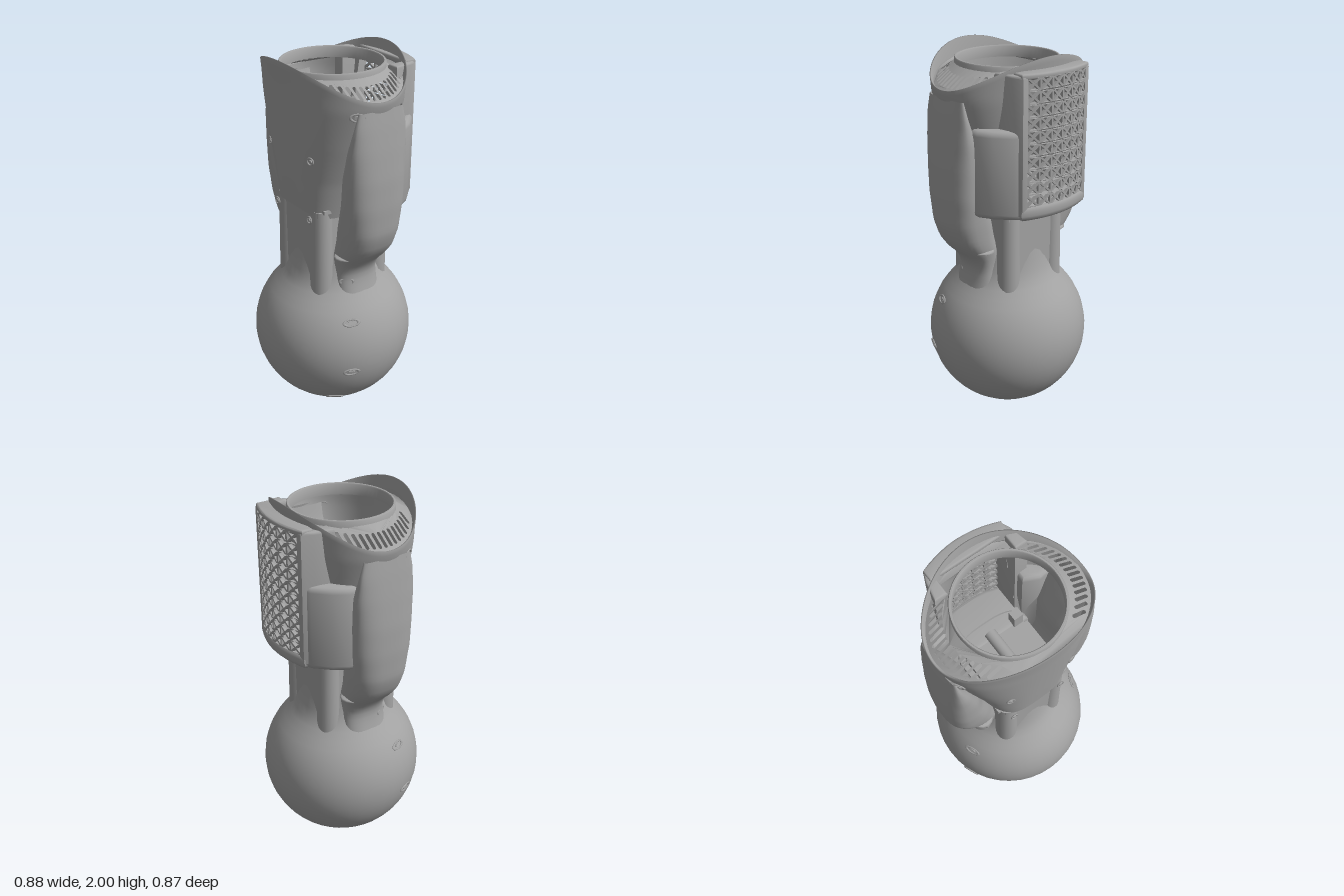
import * as THREE from 'three';
import { toCreasedNormals } from 'three/addons/utils/BufferGeometryUtils.js';

const grey = new THREE.MeshStandardMaterial({ color: 0xa3a3a3, side: THREE.DoubleSide });
grey.name = 'grey plastic';

// Linear lookup in a table of [y, value, ...] rows
function look(table, y, k) {
  for (let i = 1; i < table.length; i++) {
    const a = table[i - 1], b = table[i];
    if (y <= b[0]) return THREE.MathUtils.lerp(a[k], b[k], Math.max(0, (y - a[0]) / (b[0] - a[0])));
  }
  return table[table.length - 1][k];
}

// Skin of closed rings; point(angle, row) gives each vertex, keep() may leave openings
function loft(rows, n, point, keep = () => true) {
  const pos = [], idx = [];
  for (let r = 0; r <= rows; r++)
    for (let i = 0; i < n; i++) pos.push(...point((i / n) * Math.PI * 2, r));
  for (let r = 0; r < rows; r++)
    for (let i = 0; i < n; i++) {
      const a = r * n + i, b = r * n + (i + 1) % n;
      if (keep(pos[a * 3], pos[a * 3 + 1], pos[a * 3 + 2])) idx.push(a, a + n, b, b, a + n, b + n);
    }
  const g = new THREE.BufferGeometry();
  g.setAttribute('position', new THREE.Float32BufferAttribute(pos, 3));
  g.setIndex(idx);
  g.computeVertexNormals();
  return g;
}

// Bevelled slab: outline in x and depth behind the centre, raised from y0 to y1
function slab(points, y0, y1, bevel) {
  const shape = new THREE.Shape(points.map(p => new THREE.Vector2(...p)));
  const g = new THREE.ExtrudeGeometry(shape, {
    depth: y1 - y0 - 2 * bevel, bevelEnabled: bevel > 0, bevelSize: bevel, bevelThickness: bevel,
    bevelOffset: -bevel, bevelSegments: 3,
  });
  g.rotateX(-Math.PI / 2).translate(0, y0 + bevel, 0);
  return toCreasedNormals(g, 0.7);
}

const spow = (v, e) => Math.sign(v) * Math.abs(v) ** e;
const rimY = a => 1.84 + 0.16 * Math.sin(a) ** 2;

export function createModel() {
  const model = new THREE.Group();
  const add = (name, geo, x = 0, y = 0, z = 0, parent = model) => {
    const m = new THREE.Mesh(geo, grey);
    m.name = name;
    m.position.set(x, y, z);
    parent.add(m);
    return m;
  };

  // Round base flowing into the neck
  const profile = [];
  for (let i = 0; i <= 20; i++) {
    const t = -Math.PI / 2 + (i / 20) * (Math.PI / 2 + 0.76);
    profile.push(new THREE.Vector2(Math.max(0.0001, 0.435 * Math.cos(t)), 0.435 + 0.435 * Math.sin(t)));
  }
  [[0.285, 0.775], [0.26, 0.81], [0.242, 0.86], [0.228, 0.92], [0.215, 1.0]].forEach(p => profile.push(new THREE.Vector2(...p)));
  add('ballBase', new THREE.LatheGeometry(profile, 40));

  // Neck: four corner posts around a core
  add('neckCore', new THREE.BoxGeometry(0.36, 0.48, 0.44), 0, 1.0, 0);
  for (const x of [-0.145, 0.145])
    for (const z of [-0.175, 0.175])
      add('neckPost', new THREE.CylinderGeometry(0.056, 0.062, 0.5, 20), x, 0.99, z);

  // Head shell: y, half width, front depth, back depth, roundness
  const head = [
    [1.2, 0.215, 0.255, 0.2, 3.2], [1.4, 0.275, 0.275, 0.235, 2.7], [1.6, 0.345, 0.293, 0.27, 2.4],
    [1.8, 0.408, 0.311, 0.305, 2.1], [1.87, 0.42, 0.317, 0.315, 2], [2, 0.424, 0.33, 0.33, 2],
  ];
  add('headShell', loft(30, 96, (a, r) => {
    const s = Math.sin(a), c = Math.cos(a), top = rimY(a);
    const base = 1.2 + 0.04 * Math.max(0, s) ** 4;
    const y = r <= 28 ? base + (top - base) * r / 28 : top;
    const e = 2 / look(head, y, 4), k = r === 29 ? 0.985 : r === 30 ? 0.955 : 1;
    const drop = r === 30 ? 0.012 + 0.07 * s * s : 0;
    return [k * spow(c, e) * look(head, y, 1), y - drop, k * spow(s, e) * look(head, y, s > 0 ? 2 : 3)];
  }, (x, y, z) => !(z < 0 && Math.abs(x) < 0.18 && y > 1.3 && y < 1.9)));

  // Side lobes: y, outer x, half depth, inner x
  const lobe = [
    [0.72, 0.3, 0.13, 0.12], [0.82, 0.276, 0.125, 0.12], [0.88, 0.272, 0.12, 0.12], [0.94, 0.3, 0.125, 0.12],
    [1.0, 0.362, 0.137, 0.14], [1.06, 0.405, 0.145, 0.16], [1.15, 0.434, 0.155, 0.18], [1.3, 0.442, 0.165, 0.23],
    [1.45, 0.44, 0.168, 0.25], [1.6, 0.428, 0.165, 0.3], [1.72, 0.414, 0.15, 0.35], [1.8, 0.402, 0.13, 0.37],
  ];
  for (const side of [-1, 1]) {
    add('sideLobe', loft(36, 36, (a, r) => {
      const y = 0.72 + 1.08 * r / 36, X = look(lobe, y, 1), I = look(lobe, y, 3);
      return [side * ((X + I) / 2 + spow(Math.cos(a), 0.8) * (X - I) / 2), y, spow(Math.sin(a), 0.8) * look(lobe, y, 2)];
    }));
    // Narrow ledge under each lobe
    const ledge = add('lobeLedge', new THREE.SphereGeometry(1, 20, 10), side * 0.25, 0.99, 0);
    ledge.scale.set(0.09, 0.016, 0.16);
  }

  // Top deck with rows of vent slots
  const deck = new THREE.Shape();
  deck.absellipse(0, 0, 0.405, 0.315, 0, Math.PI * 2);
  const opening = new THREE.Path();
  opening.absarc(0, 0, 0.262, 0, Math.PI * 2, true);
  deck.holes.push(opening);
  for (const side of [-1, 1])
    for (let i = -7; i <= 7; i++) {
      const z = i * 0.03, outer = 0.382 * Math.sqrt(1 - (z / 0.295) ** 2);
      const inner = Math.max(outer - 0.075, Math.sqrt(Math.max(0, 0.278 ** 2 - z * z)));
      if (outer - inner < 0.02) continue;
      const slot = new THREE.Path(), h = 0.0085;
      const l = (side > 0 ? inner : -outer) + h, r = (side > 0 ? outer : -inner) - h;
      slot.absarc(r, z, h, -Math.PI / 2, Math.PI / 2, false);
      slot.absarc(l, z, h, Math.PI / 2, Math.PI * 1.5, false);
      deck.holes.push(slot);
    }
  const deckGeo = new THREE.ShapeGeometry(deck, 24).rotateX(-Math.PI / 2);
  const dp = deckGeo.attributes.position;
  for (let i = 0; i < dp.count; i++) {
    const x = dp.getX(i), z = dp.getZ(i), a = Math.atan2(z, x);
    const edge = 1 / Math.hypot(Math.cos(a) / 0.405, Math.sin(a) / 0.315);
    const t = (Math.hypot(x, z) - 0.262) / (edge - 0.262);
    dp.setY(i, THREE.MathUtils.lerp(1.925, rimY(a) - 0.012 - 0.07 * Math.sin(a) ** 2, t));
  }
  deckGeo.computeVertexNormals();
  add('ventDeck', deckGeo);

  // Collar around the opening
  const collar = [[0.25, 1.89], [0.25, 1.945], [0.254, 1.95], [0.262, 1.95], [0.266, 1.945], [0.266, 1.89], [0.25, 1.89]];
  add('collar', toCreasedNormals(new THREE.LatheGeometry(collar.map(p => new THREE.Vector2(...p)), 64), 0.7));

  // Rear housing: bottom, lid and side walls, with lower shoulders
  const arc = (half, from, depth) => {
    const pts = [[-half, from], [half, from]];
    for (let i = 0; i <= 10; i++) {
      const x = half * (1 - i / 5);
      pts.push([x, depth - 0.045 * (x / half) ** 2]);
    }
    return pts;
  };
  add('housingBottom', slab(arc(0.215, 0.12, 0.398), 1.215, 1.3, 0.03));
  add('housingLid', slab(arc(0.215, 0.29, 0.395), 1.915, 1.945, 0.01));
  for (const s of [-1, 1]) {
    add('housingWall', slab([[s * 0.185, 0.2], [s * 0.255, 0.2], [s * 0.235, 0.3], [s * 0.212, 0.355], [s * 0.185, 0.36]], 1.24, 1.935, 0.012));
    add('shoulder', slab([[s * 0.2, 0.345], [s * 0.24, 0.325], [s * 0.31, 0.25], [s * 0.35, 0.18], [s * 0.355, 0.13], [s * 0.28, 0.12], [s * 0.2, 0.16]], 1.22, 1.67, 0.03));
  }

  // Rear grille of triangular openings, bent around the back
  const W = 0.19, cols = 6, rows = 10, cw = 2 * W / cols, ch = 0.064;
  const plate = new THREE.Shape([[-W, 0], [W, 0], [W, 0.64], [-W, 0.64]].map(p => new THREE.Vector2(...p)));
  for (let c = 0; c < cols; c++)
    for (let r = 0; r < rows; r++) {
      const cx = -W + (c + 0.5) * cw, cy = (r + 0.5) * ch;
      for (let q = 0; q < 4; q++) {
        const turn = q * Math.PI / 2, co = Math.cos(turn), si = Math.sin(turn);
        plate.holes.push(new THREE.Path([[0.007, 0], [0.027, -0.02], [0.027, 0.02]].map(([u, v]) =>
          new THREE.Vector2(cx + u * co - v * si, cy + u * si + v * co))));
      }
    }
  const grille = new THREE.ExtrudeGeometry(plate, { depth: 0.015, bevelEnabled: false });
  const gp = grille.attributes.position;
  for (let i = 0; i < gp.count; i++) gp.setZ(i, gp.getZ(i) - 0.402 + 0.045 * (gp.getX(i) / W) ** 2);
  grille.computeVertexNormals();
  add('rearGrille', grille, 0, 1.29, 0);

  // Inside: floor plate, centre ridge and corner brackets
  add('innerFloor', new THREE.BoxGeometry(0.42, 0.02, 0.4), 0, 1.245, 0);
  add('innerPlatform', new THREE.BoxGeometry(0.36, 0.04, 0.32), 0, 1.27, 0);
  add('centreRidge', new THREE.CylinderGeometry(0.032, 0.032, 0.32, 20).rotateX(Math.PI / 2), 0, 1.3, 0);
  for (const x of [-0.15, 0.15])
    for (const z of [-0.14, 0.14]) add('cornerBracket', new THREE.BoxGeometry(0.055, 0.12, 0.05), x, 1.32, z);

  // Screws: x, y, z and slope of the surface they sit on
  const screw = (x, y, z, normal) => {
    const g = new THREE.Group();
    g.name = 'screw';
    g.position.set(x, y, z);
    const n = normal.normalize();
    g.lookAt(g.position.clone().add(n));
    const stretch = Math.min(2.2, 1 / Math.max(n.z, 0.2));
    add('screwRim', new THREE.TorusGeometry(0.018, 0.004, 8, 24), 0, 0, 0, g);
    add('screwHead', new THREE.CylinderGeometry(0.009, 0.009, 0.008, 16).rotateX(Math.PI / 2), 0, 0, 0, g);
    g.scale.x = stretch;
    model.add(g);
  };
  const panel = [[0.378, 1.78, 0.13, 0.85, 0.55], [0.18, 1.53, 0.262, 0.25, 1], [0.147, 1.2, 0.25, 0, 1], [0.25, 0.835, 0.09, 0.8, 0.5]];
  const ball = [[0.355, 0.65], [0.4, 0.375], [0.26, 0.13]];
  for (const s of [-1, 1]) {
    panel.forEach(([x, y, z, nx, nz]) => screw(s * x, y, z, new THREE.Vector3(s * nx, 0, nz)));
    ball.forEach(([x, y]) => {
      const z = Math.sqrt(Math.max(0.004, 0.436 ** 2 - x * x - (y - 0.435) ** 2));
      screw(s * x, y, z, new THREE.Vector3(s * x, y - 0.435, z));
    });
  }
  screw(0, 0.035, 0.17, new THREE.Vector3(0, -0.4, 0.17));
  return model;
}
